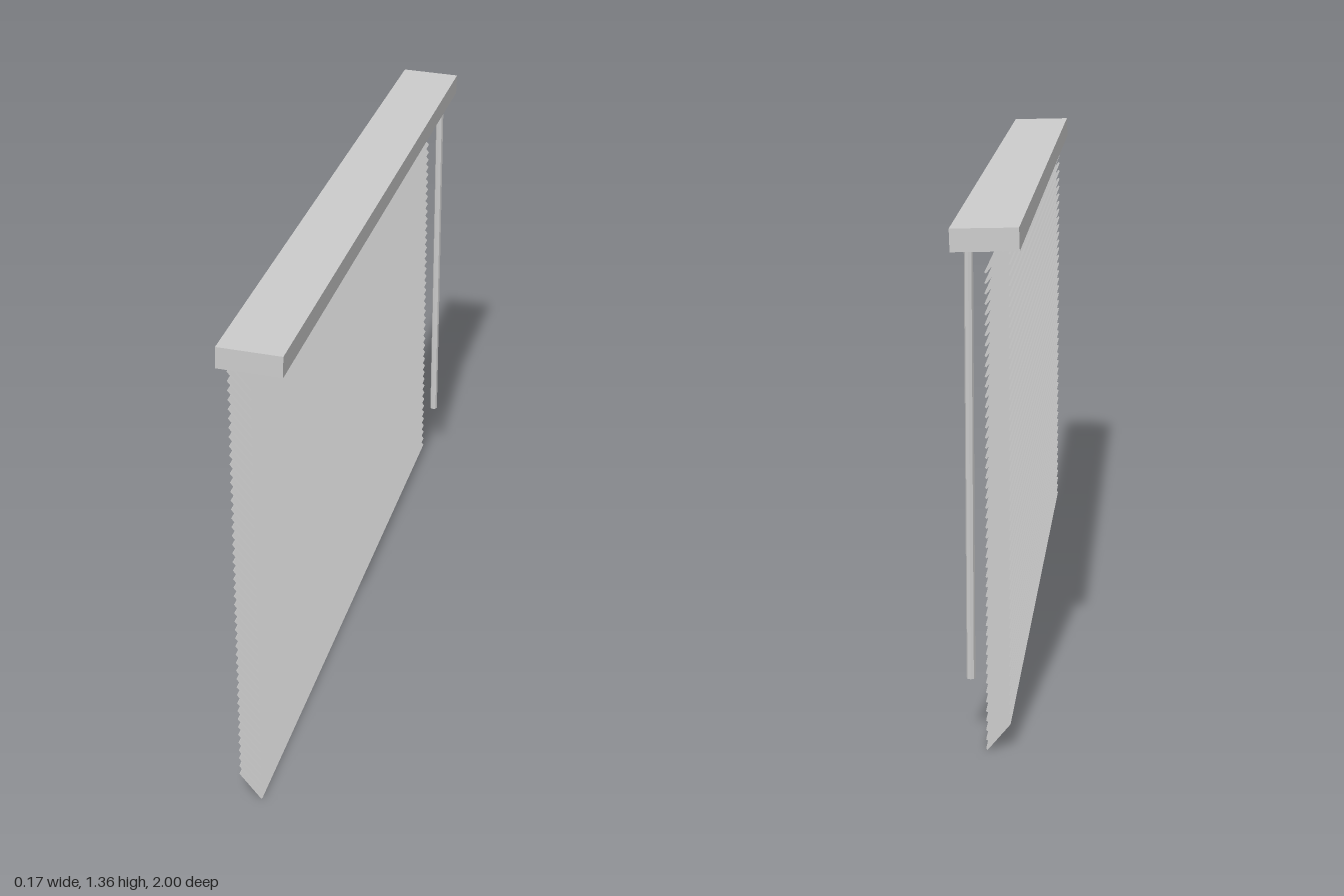
import * as THREE from 'three';

const SLATS = 49;
const PITCH = 0.026;

export function createModel() {
  const blind = new THREE.Group();
  blind.name = 'windowBlind';
  const material = new THREE.MeshStandardMaterial({ color: 0xcccccc, flatShading: true });

  const add = (name, geometry, x, y, z, tilt = 0, parent = blind) => {
    const mesh = new THREE.Mesh(geometry, material);
    mesh.name = name;
    mesh.position.set(x, y, z);
    mesh.rotation.z = tilt;
    parent.add(mesh);
    return mesh;
  };

  // Head rail, tipped very slightly towards the room
  add('headRail', new THREE.BoxGeometry(0.17, 0.058, 2), -0.001, 1.333, 0, -0.03);

  // Stack of tilted slats
  const slats = new THREE.Group();
  slats.name = 'slats';
  blind.add(slats);
  const slatGeometry = new THREE.BoxGeometry(0.094, 0.005, 1.975);
  for (let i = 0; i < SLATS; i++) {
    add('slat', slatGeometry, -0.031, 0.038 + i * PITCH, 0, THREE.MathUtils.degToRad(-51), slats);
  }

  // Tilt wand hanging from the rail
  add('tiltWand', new THREE.CylinderGeometry(0.0115, 0.0115, 1.13, 8), 0.043, 0.745, -0.945);

  return blind;
}
